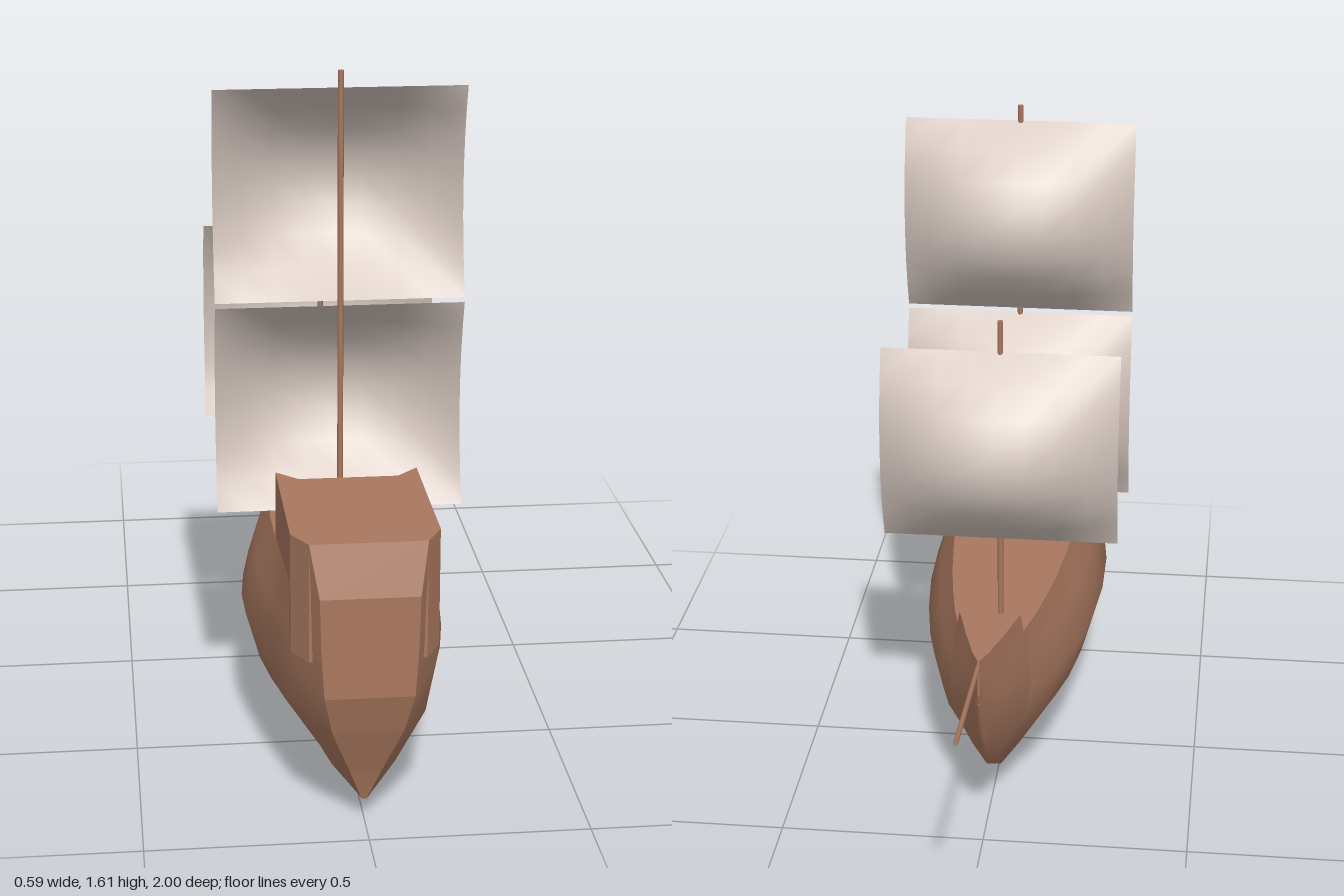
import * as THREE from 'three';

const wood = new THREE.MeshStandardMaterial({ name: 'brown wood', color: 0xa9785f, side: THREE.DoubleSide });
const cloth = new THREE.MeshStandardMaterial({ name: 'pale sailcloth', color: 0xd4c6be, side: THREE.DoubleSide });

// Skin a grid of points; rows of equal length
function loft(rows, flat = false) {
  const n = rows[0].length, index = [];
  for (let i = 0; i < rows.length - 1; i++) {
    for (let j = 0; j < n - 1; j++) {
      const a = i * n + j, b = a + 1, c = a + n, d = c + 1;
      index.push(a, b, c, b, d, c);
    }
  }
  let geo = new THREE.BufferGeometry();
  geo.setAttribute('position', new THREE.Float32BufferAttribute(rows.flat(2), 3));
  geo.setIndex(index);
  if (flat) geo = geo.toNonIndexed();
  geo.computeVertexNormals();
  return geo;
}

// Solid block from half a plan outline (x, z), mirrored in x
function planBlock(half, bottom, top) {
  const outline = [...half, ...half.map(([x, z]) => [-x, z]).reverse()];
  const shape = new THREE.Shape(outline.map(([x, z]) => new THREE.Vector2(x, z)));
  const geo = new THREE.ExtrudeGeometry(shape, { depth: top - bottom, bevelEnabled: false });
  return geo.rotateX(Math.PI / 2).translate(0, top, 0);
}

// Round pole between two points in the centre plane (y, z)
function pole(y0, z0, y1, z1, r) {
  const dir = new THREE.Vector3(0, y1 - y0, z1 - z0);
  const geo = new THREE.CylinderGeometry(r, r, dir.length(), 8);
  geo.applyQuaternion(new THREE.Quaternion().setFromUnitVectors(new THREE.Vector3(0, 1, 0), dir.normalize()));
  return geo.translate(0, (y0 + y1) / 2, (z0 + z1) / 2);
}

// Hull stations: z, keel height, keel half width, greatest half width, rail half width, rail height
const stations = [
  [0.88, 0.05, 0.01, 0.162, 0.165, 0.58],
  [0.75, 0.03, 0.016, 0.19, 0.165, 0.56],
  [0.6, 0.015, 0.02, 0.215, 0.165, 0.545],
  [0.45, 0.005, 0.02, 0.233, 0.165, 0.525],
  [0.3, 0, 0.02, 0.233, 0.162, 0.505],
  [0.15, 0.003, 0.02, 0.219, 0.15, 0.49],
  [0, 0.013, 0.018, 0.195, 0.135, 0.485],
  [-0.12, 0.03, 0.016, 0.168, 0.118, 0.485],
  [-0.22, 0.05, 0.014, 0.138, 0.101, 0.485],
  [-0.33, 0.115, 0.01, 0.102, 0.076, 0.485],
  [-0.335, 0.119, 0.01, 0.1, 0.075, 0.54],
  [-0.45, 0.21, 0.007, 0.056, 0.045, 0.54],
  [-0.53, 0.31, 0.005, 0.026, 0.022, 0.54],
  [-0.585, 0.45, 0.003, 0.004, 0.004, 0.54],
];
const levels = [0, 0.15, 0.38, 0.6, 0.8, 1];
const halfSection = ([z, keelY, keelW, w, railW, railY]) => {
  const widths = [keelW, Math.max(keelW, 0.44 * w), 0.86 * w, w, w + (railW - w) * 0.48, railW];
  return levels.map((t, i) => [widths[i], keelY + t * (railY - keelY), z]);
};
const mirror = ([x, y, z]) => [-x, y, z];
// From the left rail, under the keel, to the right rail
const fullSection = (half) => [...[...half].reverse(), ...half.map(mirror)];

// Raked, narrower stern edge
const sternEdge = [
  [0.006, 0.05, 0.9], [0.035, 0.13, 0.925], [0.08, 0.25, 0.97],
  [0.1, 0.345, 1], [0.107, 0.46, 1], [0.11, 0.58, 1],
];

// Billowing sail hung from the line z = mastZ
function sail(bottom, top, mastZ) {
  const rows = [], n = 8;
  for (let i = 0; i <= n; i++) {
    const row = [], v = -1 + 2 * i / n;
    for (let j = 0; j <= n; j++) {
      const u = -1 + 2 * j / n;
      const depth = (0.05 + 0.14 * (1 - u * u)) * (1 - v * v);
      row.push([0.293 * u, (bottom + top) / 2 + v * (top - bottom) / 2, mastZ - depth]);
    }
    rows.push(row);
  }
  return loft(rows);
}

export function createModel() {
  const group = new THREE.Group();
  const add = (name, geo, mat) => {
    const mesh = new THREE.Mesh(geo, mat);
    mesh.name = name;
    group.add(mesh);
  };

  // Hull skin
  add('hull', loft([sternEdge, ...stations.map(halfSection)].map(fullSection)), wood);

  // Flat stern panel, with its top leaning forward
  const deckCorner = [0.13, 0.695, 0.965];
  add('sternPanel', loft([...sternEdge, deckCorner].map((p) => [mirror(p), p]).reverse()
    .map((r) => [...r]), true), wood);

  // Bevelled upper corners of the stern
  const upper = [deckCorner, [0.165, 0.695, 0.9]];
  const lower = [sternEdge[5], [0.165, 0.58, 0.88]];
  add('sternCornerLeft', loft([[upper[0], lower[0]], [upper[1], lower[1]]], true), wood);
  add('sternCornerRight', loft([[lower[0], upper[0]], [lower[1], upper[1]]].map((r) => r.map(mirror)), true), wood);

  // Main deck, sunk below the rails
  const deckY = 0.42;
  const deckRows = stations.slice(2, 12).map((s) => {
    const half = halfSection(s);
    const k = half.findIndex((p) => p[1] > deckY);
    const [a, b] = [half[k - 1], half[k]];
    const x = a[0] + (b[0] - a[0]) * (deckY - a[1]) / (b[1] - a[1]);
    return [[-x, deckY, s[0]], [x, deckY, s[0]]];
  });
  add('mainDeck', loft(deckRows), wood);

  // Raised decks at stern and bow
  add('sternCastle', planBlock([[0.115, 0.56], [0.165, 0.51], [0.165, 0.9], [0.13, 0.965]], deckY, 0.695), wood);
  add('bowCastle', planBlock([[0.003, -0.575], [0.021, -0.53], [0.044, -0.45], [0.074, -0.335], [0.05, -0.355]], deckY, 0.54), wood);

  // Masts and bowsprit
  add('mainMast', pole(deckY, 0.38, 1.61, 0.38, 0.007), wood);
  add('foreMast', pole(deckY, -0.1, 1.21, -0.1, 0.007), wood);
  add('bowsprit', pole(0.525, -0.55, 0.567, -1, 0.006), wood);

  // Sails
  add('mainLowerSail', sail(0.55, 1.055, 0.38), cloth);
  add('mainUpperSail', sail(1.067, 1.57, 0.38), cloth);
  add('foreSail', sail(0.63, 1.13, -0.1), cloth);

  return group;
}
